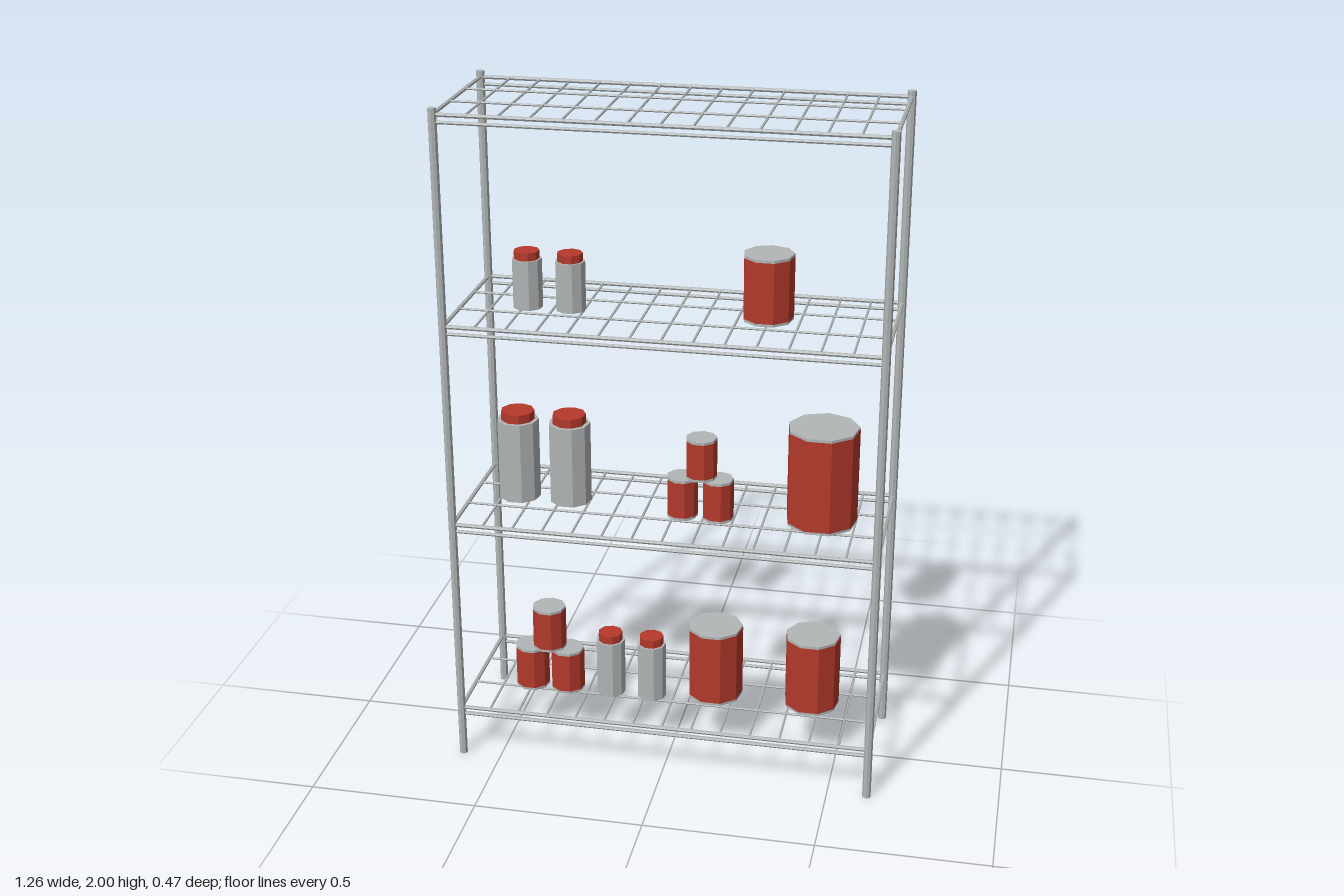
import * as THREE from 'three';

export function createModel() {
  const root = new THREE.Group();
  root.name = 'storageRack';

  const metal = new THREE.MeshStandardMaterial({ color: 0xb2b6b7, flatShading: true });
  metal.name = 'grey metal';
  const red = new THREE.MeshStandardMaterial({ color: 0xb5392b, flatShading: true });
  red.name = 'red paint';

  // Rod between two points
  function rod(parent, name, a, b, r, sides = 6) {
    const from = new THREE.Vector3(...a), dir = new THREE.Vector3(...b).sub(from);
    const m = new THREE.Mesh(new THREE.CylinderGeometry(r, r, dir.length(), sides), metal);
    m.position.copy(from).addScaledVector(dir, 0.5);
    m.quaternion.setFromUnitVectors(new THREE.Vector3(0, 1, 0), dir.normalize());
    m.name = name;
    parent.add(m);
  }

  // Nine-sided drum with a flat side to the front, standing on y0
  function drum(parent, name, r, y0, y1, mat) {
    const geo = new THREE.CylinderGeometry(r, r, y1 - y0, 9);
    geo.rotateY(Math.PI);
    const m = new THREE.Mesh(geo, mat);
    m.position.y = (y0 + y1) / 2;
    m.name = name;
    parent.add(m);
  }

  function place(name, x, y, z) {
    const g = new THREE.Group();
    g.name = name;
    g.position.set(x, y, z);
    root.add(g);
    return g;
  }

  // Red can with grey ends
  function can(x, y, z, r, h) {
    const g = place('can', x, y, z), rim = 0.008;
    drum(g, 'canBottom', r * 0.99, 0, rim, metal);
    drum(g, 'canBody', r, rim, h - rim, red);
    drum(g, 'canTop', r * 0.99, h - rim, h, metal);
  }

  // Grey jar with a narrower red lid
  function jar(x, y, z, r, h, lidR, lidH) {
    const g = place('jar', x, y, z);
    drum(g, 'jarBody', r, 0, h - lidH, metal);
    drum(g, 'jarLid', lidR, h - lidH, h, red);
  }

  const X = 0.617, Z = 0.225;

  // Corner posts
  for (const x of [-X, X]) for (const z of [-Z, Z]) {
    rod(root, 'post', [x, 0, z], [x, 2, z], 0.0125, 8);
  }

  // Wire shelves
  const levels = [0.159, 0.771, 1.382, 1.982];
  for (const y of levels) {
    const shelf = place('shelf', 0, y, 0);
    for (const z of [-Z, Z]) {
      rod(shelf, 'upperRail', [-X, 0, z], [X, 0, z], 0.006);
      rod(shelf, 'lowerRail', [-X, -0.021, z], [X, -0.021, z], 0.005);
    }
    for (const x of [-X, X]) rod(shelf, 'sideRail', [x, 0, -Z], [x, 0, Z], 0.006);
    for (const z of [-0.075, 0.072]) rod(shelf, 'longWire', [-X, 0, z], [X, 0, z], 0.0035);
    for (let i = 1; i < 14; i++) {
      const x = -X + (i * 2 * X) / 14;
      rod(shelf, 'crossWire', [x, 0, -Z], [x, 0, Z], 0.0035);
    }
  }

  const [s1, s2, s3] = levels.map((y) => y + 0.005);

  // Bottom shelf
  can(-0.439, s1, 0.05, 0.051, 0.138);
  can(-0.328, s1, 0.05, 0.051, 0.138);
  can(-0.383, s1 + 0.138, 0.05, 0.051, 0.136);
  jar(-0.193, s1, 0.049, 0.044, 0.204, 0.037, 0.025);
  jar(-0.066, s1, 0.049, 0.044, 0.204, 0.037, 0.025);
  can(0.122, s1, 0, 0.083, 0.235);
  can(0.418, s1, 0, 0.083, 0.235);

  // Middle shelf
  jar(-0.476, s2, -0.003, 0.062, 0.275, 0.05, 0.027);
  jar(-0.32, s2, -0.003, 0.062, 0.275, 0.05, 0.027);
  can(0.026, s2, 0.038, 0.046, 0.127);
  can(0.132, s2, 0.038, 0.046, 0.127);
  can(0.082, s2 + 0.127, 0.038, 0.046, 0.125);
  can(0.43, s2, -0.001, 0.105, 0.297);

  // Upper shelf
  jar(-0.425, s3, 0.027, 0.043, 0.168, 0.037, 0.023);
  jar(-0.299, s3, 0.027, 0.043, 0.168, 0.037, 0.023);
  can(0.262, s3, -0.003, 0.073, 0.193);

  return root;
}
